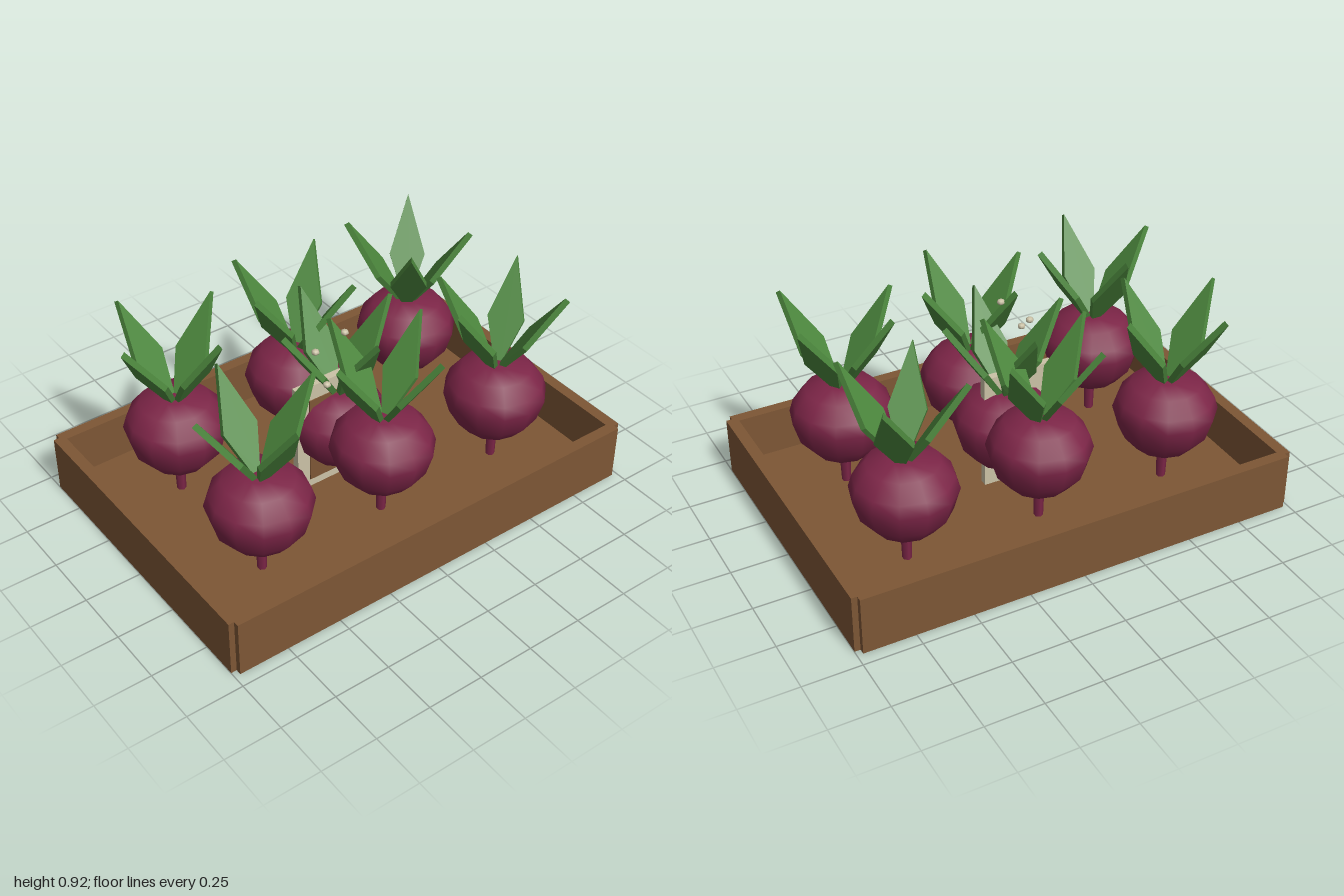
import * as THREE from 'three';

export function createModel() {
  const model = new THREE.Group();
  const mat = (name, color) => {
    const m = new THREE.MeshStandardMaterial({ color });
    m.name = name;
    return m;
  };
  const wood = mat('wood brown', 0x7d5635);
  const skin = mat('beet purple', 0x7c2547);
  const green = mat('leaf green', 0x4c873d);
  const cream = mat('cream', 0xcbc2a6);

  const add = (parent, name, geometry, material, x = 0, y = 0, z = 0) => {
    const mesh = new THREE.Mesh(geometry, material);
    mesh.name = name;
    mesh.position.set(x, y, z);
    parent.add(mesh);
    return mesh;
  };
  const box = (parent, name, material, w, h, d, x, y, z) =>
    add(parent, name, new THREE.BoxGeometry(w, h, d), material, x, y, z);

  // Open crate with notched corners
  const crate = new THREE.Group();
  crate.name = 'crate';
  model.add(crate);
  box(crate, 'crateFloor', wood, 1.95, 0.05, 1.34, 0, 0.025, 0);
  for (const s of [-1, 1]) {
    box(crate, s > 0 ? 'frontWall' : 'backWall', wood, 1.95, 0.26, 0.05, 0, 0.13, s * 0.67);
    box(crate, s > 0 ? 'leftWall' : 'rightWall', wood, 0.05, 0.26, 1.34, s * 0.975, 0.13, 0);
  }

  // Bulb profile, root and kite-shaped leaf shared by all beets
  const profile = [[0, 0.17], [0.05, 0.18], [0.13, 0.225], [0.193, 0.3], [0.222, 0.4],
    [0.205, 0.455], [0.15, 0.522], [0.06, 0.543], [0, 0.545]];
  const bulbGeo = new THREE.LatheGeometry(profile.map(p => new THREE.Vector2(...p)), 12);
  const rootGeo = new THREE.CylinderGeometry(0.024, 0.02, 0.16, 6);
  const kite = new THREE.Shape([[-0.015, 0], [0.015, 0], [0.078, 0.19], [0, 0.455], [-0.078, 0.19]]
    .map(p => new THREE.Vector2(...p)));
  const leafGeo = new THREE.ExtrudeGeometry(kite, { depth: 0.025, bevelEnabled: false });
  leafGeo.translate(0, 0, -0.0125);
  leafGeo.rotateX(0.58);

  // Each beet: x, y, z and the headings of its leaves in degrees
  const beets = [
    [-0.606, 0, -0.305, [-110, -18, 74, 163]],
    [0, 0, -0.305, [-124, -36, 59, 160]],
    [0.606, 0, -0.305, [-139, -52, 50, 126]],
    [-0.606, 0, 0.305, [-90, 0, 90, 180]],
    [0, 0, 0.305, [-108, -19, 72, 169]],
    [0.606, 0, 0.305, [-124, -35, 53, 170]],
    [0, -0.05, 0, [-90, 0, 90, 180]],
  ];
  for (const [x, y, z, headings] of beets) {
    const beet = new THREE.Group();
    beet.name = 'beet';
    beet.position.set(x, y, z);
    model.add(beet);
    add(beet, 'bulb', bulbGeo, skin);
    add(beet, 'root', rootGeo, skin, 0, 0.13, 0);
    for (const h of headings) {
      const a = THREE.MathUtils.degToRad(h);
      const leaf = add(beet, 'leaf', leafGeo, green, Math.cos(a) * 0.02, 0.53, Math.sin(a) * 0.02);
      leaf.rotation.y = Math.PI / 2 - a;
    }
  }

  // Upright packet with a thin brown panel on its front
  const packet = new THREE.Group();
  packet.name = 'packet';
  model.add(packet);
  box(packet, 'packetBody', cream, 0.32, 0.582, 0.034, -0.06, 0.289, 0);
  box(packet, 'packetPanel', wood, 0.2, 0.42, 0.006, -0.06, 0.3, 0.019);

  // Small loose seeds above the packet
  const seedGeo = new THREE.SphereGeometry(0.018, 6, 4);
  seedGeo.scale(1, 0.7, 1);
  for (const [x, y, z] of [[-0.145, 0.77, 0.045], [-0.04, 0.855, 0.1], [-0.165, 0.68, 0.15]])
    add(model, 'seed', seedGeo, cream, x, y, z);

  return model;
}
